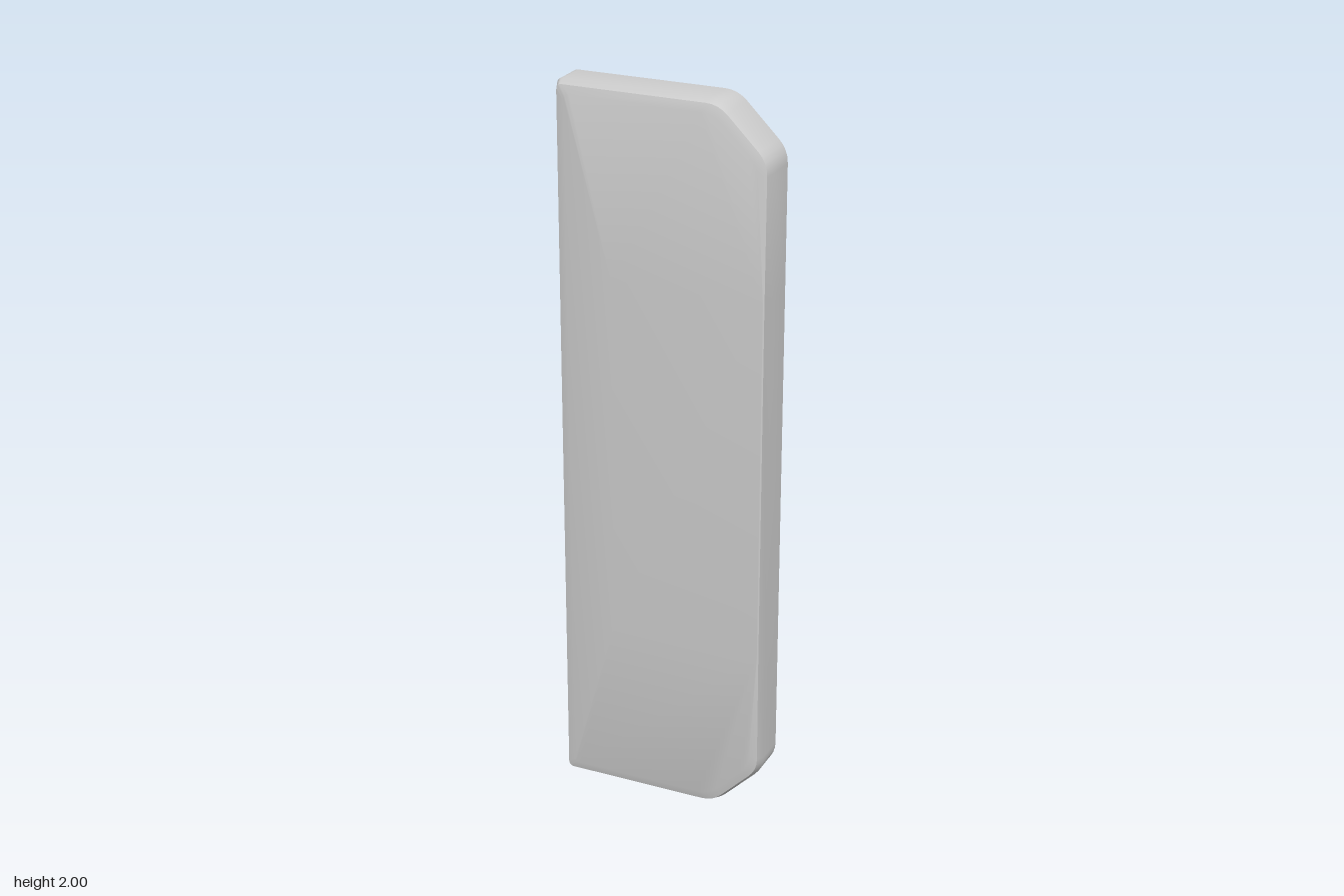
import * as THREE from 'three';
import { toCreasedNormals } from 'three/addons/utils/BufferGeometryUtils.js';

const STEPS = 4; // points per rounded corner

// Rounds each corner [x, y, z, radius] of a closed loop with a small quadratic curve
function roundedLoop(corners) {
  const pts = [];
  corners.forEach(([x, y, z, r], i) => {
    const c = new THREE.Vector3(x, y, z);
    const toward = (j) => {
      const n = corners[(j + corners.length) % corners.length];
      const d = new THREE.Vector3(n[0], n[1], n[2]).sub(c);
      return c.clone().add(d.setLength(Math.min(r, d.length() / 2)));
    };
    if (!r) for (let k = 0; k <= STEPS; k++) pts.push(c.clone());
    else pts.push(...new THREE.QuadraticBezierCurve3(toward(i - 1), c, toward(i + 1)).getPoints(STEPS));
  });
  return pts;
}

// Slab outline: square corners on one side, cut corners on the other.
// The long cut-side edge rises to midZ between y = 0.5 and y = 1.5.
function outline(inset, z, midInset = inset, midZ = z) {
  const right = 0.296 - inset, mid = 0.296 - midInset;
  const cut = 0.16 - inset * 0.42, cutY = 0.136 + inset * 0.42;
  const half = [
    [-0.296 + inset, inset, z, 0.016],
    [cut, inset, z, 0.035],
    [right, cutY, z, 0.035],
    [mid, 0.5, midZ, 0],
  ];
  return [...half, ...half.map(([x, y, h, r]) => [x, 2 - y, h, r]).reverse()];
}

export function createModel() {
  const group = new THREE.Group();

  // Flat raised middle of the front face, reaching the cut-side edge
  const low = [[-0.13, 0.5], [0.29, 0.5], [0.29, 0.5], [0.29, 0.5]].map(([x, y]) => [x, y, 0.066, 0]);
  const plateau = [...low, ...low.map(([x, y, z, r]) => [x, 2 - y, z, r]).reverse()];

  const rings = [
    outline(0, -0.066),                // back edge
    outline(0, 0.02),                  // straight wall
    outline(0.009, 0.044, 0.002, 0.064), // front rim
    outline(0.032, 0.051, 0.005, 0.066), // soft bevel
    plateau,
  ].map(roundedLoop);

  const pos = [];
  const tri = (a, b, c) => {
    const area = b.clone().sub(a).cross(c.clone().sub(a)).length();
    if (area > 1e-9) for (const p of [a, b, c]) pos.push(p.x, p.y, p.z);
  };
  const n = rings[0].length;

  // Skin between neighbouring rings
  for (let r = 0; r < rings.length - 1; r++) {
    const lo = rings[r], hi = rings[r + 1];
    for (let i = 0; i < n; i++) {
      const j = (i + 1) % n;
      tri(lo[i], lo[j], hi[j]);
      tri(lo[i], hi[j], hi[i]);
    }
  }

  // Flat back and front caps
  const back = new THREE.Vector3(0, 1, -0.066), front = new THREE.Vector3(0.08, 1, 0.066);
  const top = rings[rings.length - 1];
  for (let i = 0; i < n; i++) {
    const j = (i + 1) % n;
    tri(back, rings[0][j], rings[0][i]);
    tri(front, top[i], top[j]);
  }

  const geometry = new THREE.BufferGeometry();
  geometry.setAttribute('position', new THREE.Float32BufferAttribute(pos, 3));
  const slab = new THREE.Mesh(
    toCreasedNormals(geometry, 0.6),
    new THREE.MeshStandardMaterial({ color: 0xcccccc })
  );
  slab.name = 'bevelledPanel';
  group.add(slab);
  return group;
}
